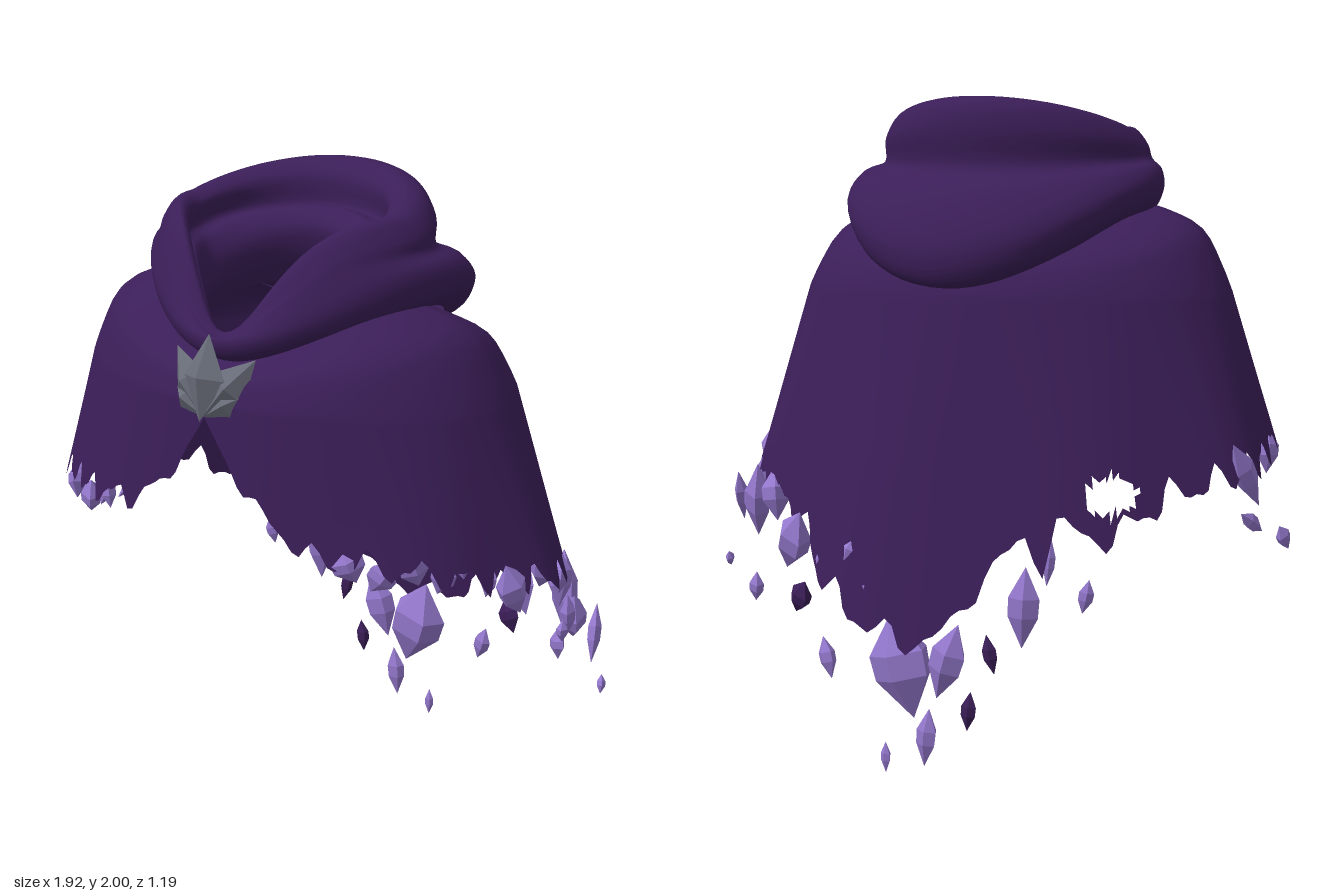
import * as THREE from 'three';
import { mergeVertices } from 'three/addons/utils/BufferGeometryUtils.js';

const RAD = Math.PI / 180;

const material = (name, color, extra = {}) => {
  const m = new THREE.MeshStandardMaterial({ color, ...extra });
  m.name = name;
  return m;
};
const cloth = material('dark purple cloth', 0x3b1e58, { side: THREE.DoubleSide });
const crystalLight = material('lilac crystal', 0x9478cd);
const metal = material('grey metal', 0x686c78);

// A loop is [half width, front z, back z, front y, side y, back y]
function ringPoint([a, zf, zb, yf, ys, yb], angle, pinch = 0, frontPower = 2.5, backPower = 1) {
  const c = Math.cos(angle), front = Math.max(c, 0), back = Math.max(-c, 0);
  return new THREE.Vector3(
    a * Math.sin(angle) * (1 - pinch * front * front),
    ys + (yf - ys) * front ** frontPower + (yb - ys) * back ** backPower,
    (zf + zb) / 2 + c * (zf - zb) / 2);
}

// Closed surface from columns of points, each running downwards on the outside
function loft(columns, isHole = () => false) {
  const rows = columns[0].length, index = [], mid = new THREE.Vector3();
  for (let j = 0; j < columns.length - 1; j++) {
    for (let i = 0; i < rows - 1; i++) {
      const a = j * rows + i, b = a + rows;
      mid.addVectors(columns[j][i], columns[j + 1][i + 1]).multiplyScalar(0.5);
      if (!isHole(mid)) index.push(a, a + 1, b + 1, a, b + 1, b);
    }
  }
  let geometry = new THREE.BufferGeometry().setFromPoints(columns.flat());
  geometry.setIndex(index);
  geometry = mergeVertices(geometry, 1e-4);
  geometry.computeVertexNormals();
  return geometry;
}

// Shoulders of the cape, then a rule for the hanging part below them
const shoulders = [
  [0.33, 0.45, -0.14, 1.53, 1.70, 1.62],
  [0.47, 0.49, -0.24, 1.515, 1.67, 1.56],
  [0.60, 0.53, -0.33, 1.49, 1.61, 1.50],
  [0.665, 0.55, -0.355, 1.45, 1.50, 1.46],
];
const hangingLoop = (y) => {
  const d = 1.42 - y;
  return [0.70 + d * 0.33, 0.56 + d * 0.10, -0.37 - d * 0.20, y, y, y];
};

// Hem height by angle in degrees, from the front seam round the left side
const hemPoints = [
  [0, 1.38], [11, 1.18], [18, 1.10], [25, 1.02], [40, 1.02], [60, 0.98], [80, 0.95], [100, 0.90],
  [112, 0.86], [135, 0.79], [148, 0.74], [156, 0.60], [165, 0.50], [177, 0.42], [187, 0.48],
  [192, 0.66], [200, 0.73], [202, 0.67], [205, 0.80], [211, 0.75], [219, 0.78], [230, 0.87],
  [245, 0.91], [270, 0.96], [290, 1.00], [310, 1.03], [341, 1.08], [352, 1.20], [360, 1.38],
];
function hemHeight(deg) {
  const k = Math.max(1, hemPoints.findIndex((p) => p[0] >= deg));
  const [d0, y0] = hemPoints[k - 1], [d1, y1] = hemPoints[k];
  const tatter = 0.034 * Math.sin(deg * 0.55) + 0.018 * Math.sin(deg * 1.01 + 1);
  return y0 + (y1 - y0) * (deg - d0) / (d1 - d0)
    + tatter * Math.min(1, deg / 25, (360 - deg) / 25);
}

function capeGeometry() {
  const columns = [], n = 240, rows = 36;
  for (let j = 0; j <= n; j++) {
    const deg = (j % n) * 360 / n, angle = deg * RAD, hem = hemHeight(deg);
    const upper = [...shoulders, hangingLoop(1.42)].map((l) => ringPoint(l, angle));
    const column = new THREE.CatmullRomCurve3(upper).getPoints(12);
    for (let i = 1; i <= rows; i++) {
      const y = 1.42 + (hem - 1.42) * i / rows;
      const p = ringPoint(hangingLoop(y), angle);
      const fold = 1 + 0.014 * Math.sin(angle * 9) * Math.min(1, (1.42 - y) * 2);
      p.x *= fold;
      p.z *= fold;
      column.push(p);
    }
    columns.push(column);
  }
  // Torn hole near the back hem
  const torn = (p) => p.z < 0 && ((p.x + 0.53) / 0.065) ** 2 + ((p.y - 0.87) / 0.055) ** 2 < 1;
  return loft(columns, torn);
}

// Lowered hood: neck, inner roll, rim, then the pouch draped down the back
const hoodLoops = [
  [0.25, 0.455, -0.08, 1.49, 1.60, 1.64],
  [0.215, 0.445, -0.03, 1.52, 1.67, 1.75],
  [0.225, 0.44, -0.02, 1.54, 1.73, 1.82],
  [0.26, 0.445, -0.07, 1.56, 1.79, 1.87],
  [0.31, 0.45, -0.12, 1.575, 1.82, 1.86],
  [0.30, 0.455, -0.13, 1.59, 1.88, 1.95],
  [0.33, 0.465, -0.19, 1.605, 1.91, 2.00],
  [0.375, 0.475, -0.25, 1.605, 1.91, 1.98],
  [0.42, 0.49, -0.27, 1.60, 1.86, 1.90],
  [0.43, 0.50, -0.26, 1.60, 1.82, 1.79],
  [0.475, 0.515, -0.36, 1.60, 1.79, 1.72],
  [0.495, 0.52, -0.45, 1.58, 1.74, 1.56],
  [0.47, 0.505, -0.43, 1.545, 1.68, 1.46],
  [0.42, 0.46, -0.34, 1.52, 1.65, 1.44],
];
function hoodGeometry() {
  const columns = [], n = 64;
  for (let j = 0; j <= n; j++) {
    const angle = (j % n) / n * Math.PI * 2;
    // The inner loops draw to a point at the throat, the outer ones drape softly
    const points = hoodLoops.map((l, k) => (k < 6 ? ringPoint(l, angle, 0.35, 3.5)
      : k < 10 ? ringPoint(l, angle, 0.25, 4) : ringPoint(l, angle, 0.2, 2.5, 1.8)));
    columns.push(new THREE.CatmullRomCurve3(points).getPoints(52));
  }
  return loft(columns);
}

// Leaf blade growing up from its base, with a raised middle ridge
function leaf(length, width) {
  const g = new THREE.OctahedronGeometry(1);
  g.scale(width / 2, length / 2, 0.04);
  g.translate(0, length / 2, 0);
  return g;
}

// Chunky five-sided crystal with a faceted waist
function crystalShape() {
  const profile = [[0, -1], [0.88, -0.22], [0.92, 0.25], [0, 1]].map((p) => new THREE.Vector2(...p));
  const g = new THREE.LatheGeometry(profile, 5).toNonIndexed();
  g.computeVertexNormals();
  return g;
}

// Crystals behind: [x, y, half width, half height, tilt, dark]
const backCrystals = [
  [0.07, 0.34, 0.11, 0.16, -0.25], [-0.08, 0.37, 0.06, 0.12, 0.3], [-0.01, 0.13, 0.036, 0.09, 0.1],
  [0.13, 0.048, 0.018, 0.048, 0], [0.33, 0.33, 0.034, 0.065, -0.3], [-0.15, 0.23, 0.026, 0.06, 0.1, 1],
  [-0.22, 0.41, 0.024, 0.06, -0.2, 1], [-0.31, 0.55, 0.052, 0.12, 0.05], [-0.37, 0.68, 0.02, 0.07, 0.1],
  [-0.48, 0.59, 0.025, 0.05, 0.2], [0.18, 0.55, 0.055, 0.08, -0.3], [0.26, 0.65, 0.06, 0.08, 0.3],
  [0.46, 0.49, 0.045, 0.06, 0.5, 1], [0.38, 0.60, 0.035, 0.07, -0.2], [0.52, 0.65, 0.075, 0.11, 0.5],
  [0.64, 0.77, 0.07, 0.085, -0.2], [0.75, 0.73, 0.065, 0.13, 0.3], [0.68, 0.48, 0.036, 0.05, 0.2],
  [0.93, 0.50, 0.022, 0.03, 0.5], [0.93, 0.70, 0.032, 0.09, 0.3], [-0.83, 0.91, 0.045, 0.12, -0.6],
  [-0.95, 0.74, 0.028, 0.045, -0.6], [-0.86, 0.78, 0.026, 0.06, -1.0],
];
// Crystals at the front and sides: [angle in degrees, y, half width, half height, tilt]
const sideCrystals = [
  [33, 1.01, 0.055, 0.06, 0.4], [40, 0.98, 0.05, 0.05, -0.6], [48, 1.01, 0.05, 0.06, 0.3],
  [75, 0.92, 0.06, 0.09, 0.4], [92, 0.75, 0.026, 0.035, 0], [100, 0.77, 0.035, 0.07, 0.2],
  [106, 0.87, 0.05, 0.06, -0.3], [112, 0.71, 0.06, 0.09, 0.4], [121, 0.79, 0.06, 0.09, -0.3],
  [327, 1.04, 0.035, 0.05, 0.3], [318, 0.99, 0.05, 0.06, -0.3], [302, 0.98, 0.05, 0.06, 0.5],
  [284, 0.94, 0.055, 0.07, -0.2],
];

export function createModel() {
  const model = new THREE.Group();
  model.name = 'tattered cape';
  const add = (name, geometry, mat, parent = model) => {
    const mesh = new THREE.Mesh(geometry, mat);
    mesh.name = name;
    parent.add(mesh);
    return mesh;
  };
  add('cape', capeGeometry(), cloth);
  add('hood', hoodGeometry(), cloth);

  // Leaf clasp, tilted back to follow the chest
  const clasp = new THREE.Group();
  clasp.name = 'leafClasp';
  clasp.position.set(0, 1.37, 0.575);
  clasp.rotation.x = -0.22;
  model.add(clasp);
  add('middleLeaf', leaf(0.25, 0.14), metal, clasp).position.z = 0.012;
  for (const side of [-1, 1]) {
    [[0.23, 0.125, 0.66], [0.16, 0.11, 1.0]].forEach(([length, width, turn], k) => {
      const blade = add('sideLeaf', leaf(length, width), metal, clasp);
      blade.rotation.set(0, side * 0.22, -side * turn, 'YXZ');
      blade.position.set(0, 0.015, -0.005 * k);
    });
  }

  // Floating crystals breaking away from the hem, just inside the cloth
  const crystals = new THREE.Group();
  crystals.name = 'crystals';
  model.add(crystals);
  const crystalGeometry = crystalShape();
  const addCrystal = (angle, y, w, h, tilt, dark) => {
    const mesh = add('crystal', crystalGeometry, dark ? cloth : crystalLight, crystals);
    const [a, zf, zb, ...heights] = hangingLoop(y);
    mesh.position.copy(ringPoint([a - 0.03, zf - 0.03, zb + 0.03, ...heights], angle));
    mesh.scale.set(w, h, w * 0.7);
    mesh.rotation.set(0, angle, tilt, 'YXZ');
    return mesh;
  };
  for (const [x, y, w, h, tilt, dark] of backCrystals) {
    const s = THREE.MathUtils.clamp(x / hangingLoop(y)[0], -0.96, 0.96);
    const mesh = addCrystal(Math.PI - Math.asin(s), y, w, h, -tilt, dark);
    mesh.position.x = x;
    mesh.position.z = Math.max(mesh.position.z, -0.52);
  }
  for (const [deg, ...rest] of sideCrystals) addCrystal(deg * RAD, ...rest);
  return model;
}
